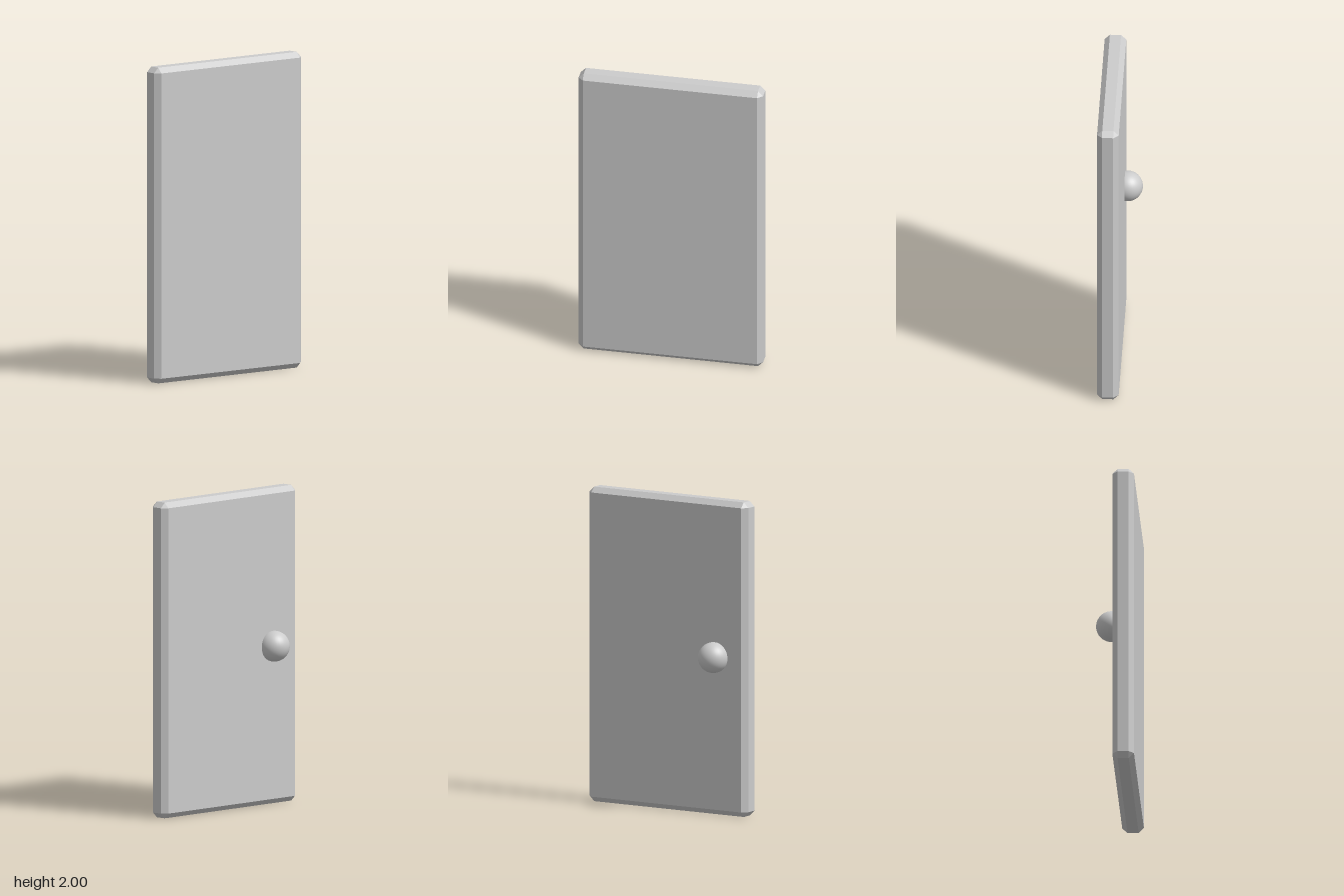
import * as THREE from 'three';
import { ConvexGeometry } from 'three/addons/geometries/ConvexGeometry.js';

// Box with a single flat chamfer along every edge and a triangle at each corner
function chamferedBox(width, height, depth, chamfer) {
  const half = [width / 2, height / 2, depth / 2];
  const points = [];
  for (const sx of [-1, 1]) for (const sy of [-1, 1]) for (const sz of [-1, 1]) {
    for (let axis = 0; axis < 3; axis++) {
      const [x, y, z] = half.map((h, i) => (i === axis ? h : h - chamfer));
      points.push(new THREE.Vector3(sx * x, sy * y, sz * z));
    }
  }
  return new ConvexGeometry(points);
}

export function createModel() {
  const group = new THREE.Group();
  group.name = 'door';

  // Door panel standing on the ground, facing sideways
  const panel = new THREE.Mesh(
    chamferedBox(0.136, 2, 1.18, 0.033),
    new THREE.MeshStandardMaterial({ color: 0xcccccc, flatShading: true })
  );
  panel.name = 'doorPanel';
  panel.position.set(0.056, 1, 0);
  group.add(panel);

  // Round knob, partly sunk into the panel
  const knob = new THREE.Mesh(
    new THREE.SphereGeometry(0.097, 32, 24),
    new THREE.MeshStandardMaterial({ color: 0xcccccc })
  );
  knob.name = 'doorKnob';
  knob.position.set(-0.028, 1.003, 0.361);
  group.add(knob);

  return group;
}
